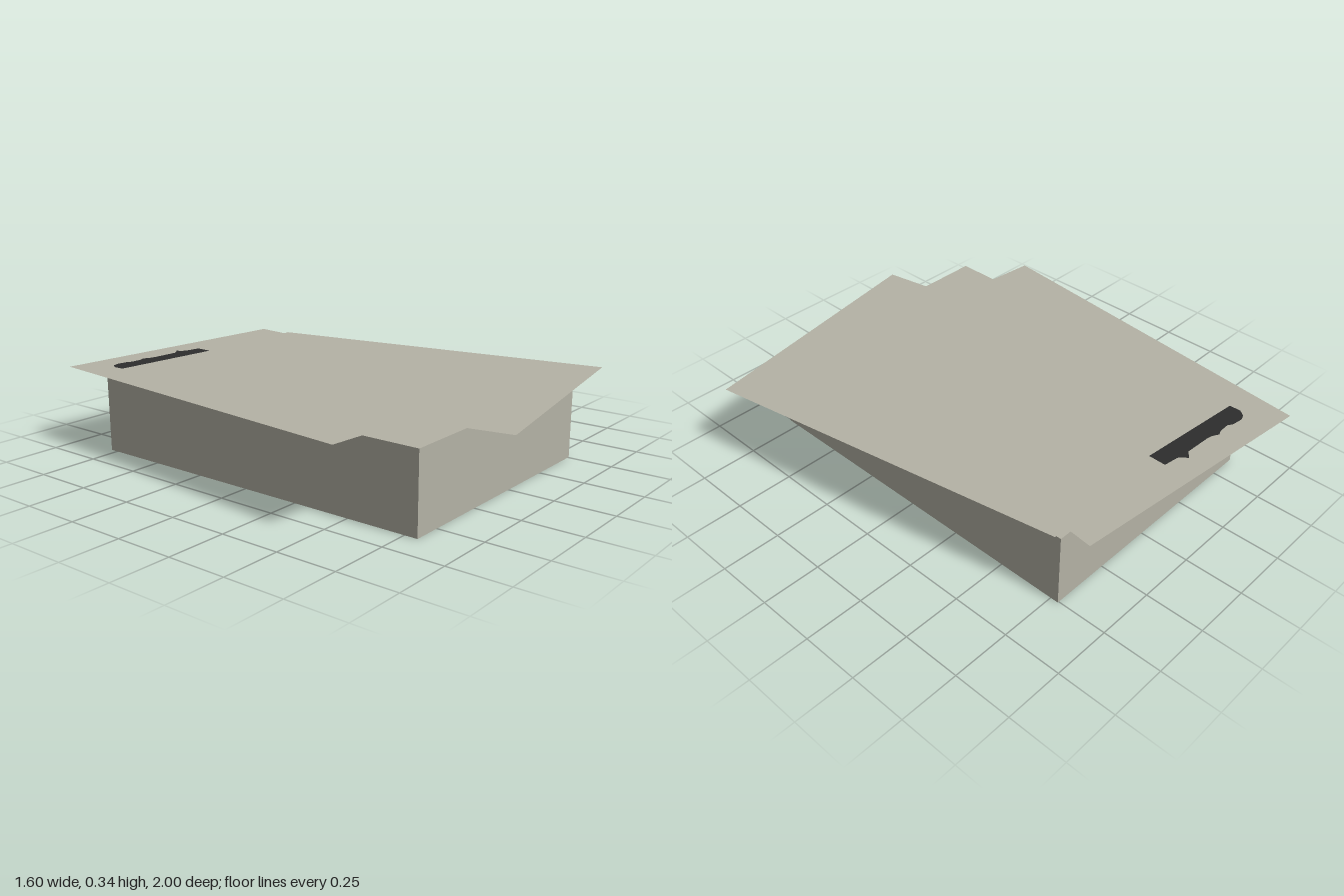
import * as THREE from 'three';

export function createModel() {
  const model = new THREE.Group();
  model.name = 'paperStack';
  const paper = new THREE.MeshStandardMaterial({ color: 0xb4b2a5 });
  paper.name = 'paper';
  paper.side = THREE.DoubleSide;
  const ink = new THREE.MeshStandardMaterial({ color: 0x2d2d2d });
  ink.name = 'ink';
  ink.side = THREE.DoubleSide;

  const W = 1.125, D = 1.59, H = 0.325;

  // Solid block of stacked pages
  const stack = new THREE.Mesh(new THREE.BoxGeometry(W, H, D), paper);
  stack.name = 'pageBlock';
  stack.position.set(-0.057, H / 2, 0.01);
  model.add(stack);

  // Loose sheet lying turned on the stack
  function addSheet(name, x, y, z, degrees) {
    const group = new THREE.Group();
    group.name = name;
    const sheet = new THREE.Mesh(new THREE.PlaneGeometry(W, D).rotateX(-Math.PI / 2), paper);
    sheet.name = name + 'Page';
    group.add(sheet);
    group.position.set(x, y, z);
    group.rotation.y = THREE.MathUtils.degToRad(degrees);
    model.add(group);
    return group;
  }
  addSheet('lowerSheet', 0.105, 0.332, 0.113, 10.2);
  const topSheet = addSheet('topSheet', -0.164, 0.34, -0.155, -5.7);

  // Uneven ink smudge, showing on both faces of the top sheet
  const outline = [
    [-0.431, 0.595], [0.051, 0.598], [0.044, 0.673], [-0.022, 0.676], [-0.038, 0.685],
    [-0.055, 0.706], [-0.083, 0.678], [-0.2, 0.673], [-0.225, 0.676], [-0.254, 0.688],
    [-0.275, 0.677], [-0.323, 0.671], [-0.344, 0.682], [-0.395, 0.684], [-0.419, 0.672],
    [-0.436, 0.645],
  ].map(([x, y]) => new THREE.Vector2(x, y));
  const smudge = new THREE.ShapeGeometry(new THREE.Shape(outline)).rotateX(-Math.PI / 2);
  for (const side of [1, -1]) {
    const mark = new THREE.Mesh(smudge, ink);
    mark.name = side > 0 ? 'inkMarkUpper' : 'inkMarkUnder';
    mark.position.y = side * 0.002;
    topSheet.add(mark);
  }
  return model;
}
